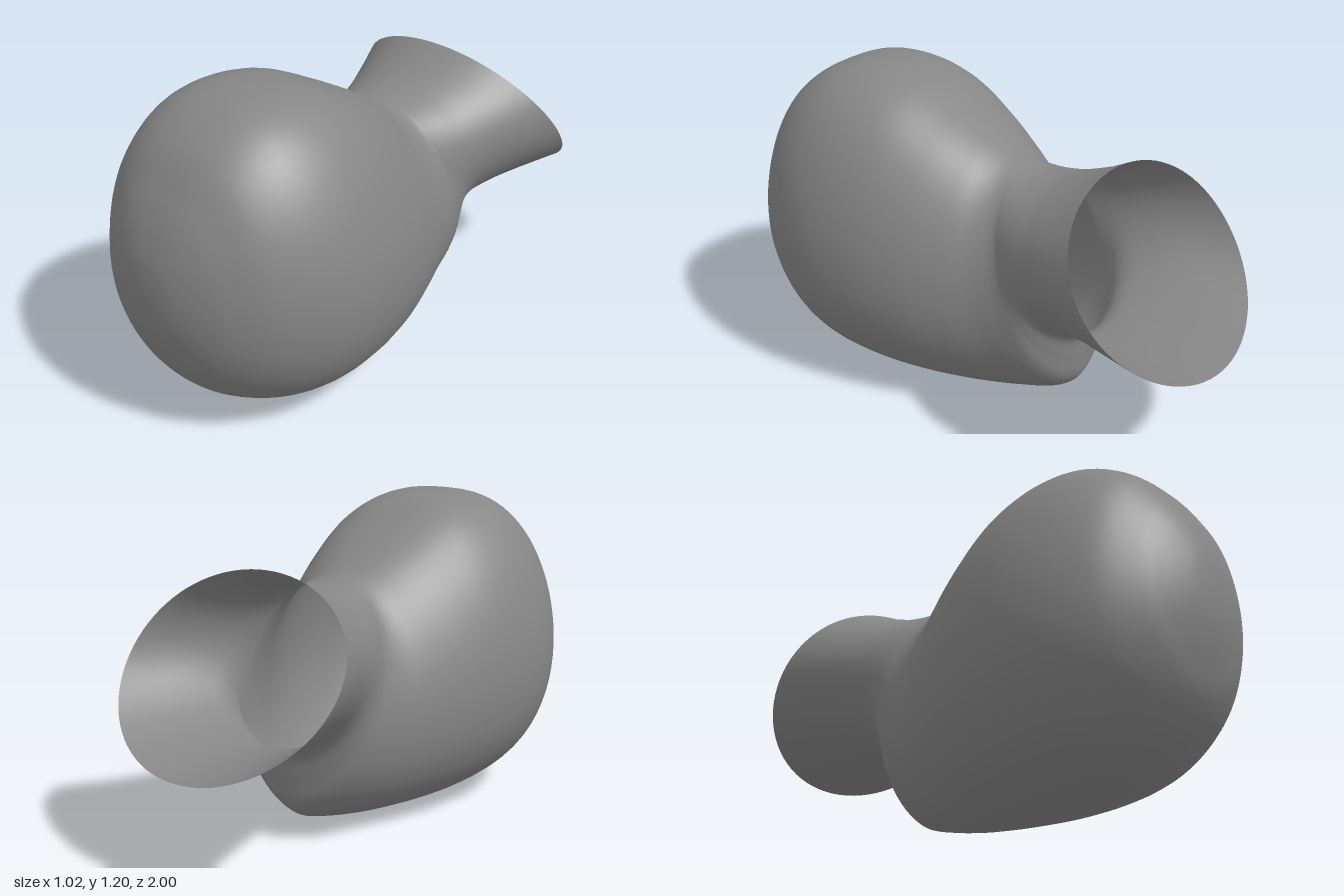
import * as THREE from 'three';
import { mergeVertices } from 'three/addons/utils/BufferGeometryUtils.js';

// Cross-sections from closed front to open rim:
// [top z, top y, bottom z, bottom y, half width, height shift of the widest point]
const SECTIONS = [
  [1, 0.62, 1, 0.62, 0, 0],
  [0.996, 0.69, 0.996, 0.545, 0.062, 0],
  [0.984, 0.762, 0.984, 0.465, 0.125, 0],
  [0.95, 0.862, 0.95, 0.358, 0.215, -0.01],
  [0.9, 0.957, 0.9, 0.25, 0.3, -0.02],
  [0.8, 1.092, 0.8, 0.138, 0.403, -0.03],
  [0.65, 1.181, 0.65, 0.052, 0.48, -0.045],
  [0.48, 1.2, 0.48, 0.013, 0.512, -0.055],
  [0.3, 1.167, 0.28, 0, 0.495, -0.055],
  [0.13, 1.083, 0.08, 0.006, 0.447, -0.05],
  [0, 1.01, -0.1, 0.022, 0.385, -0.04],
  [-0.06, 0.975, -0.25, 0.052, 0.34, -0.03],
  [-0.1, 0.955, -0.36, 0.09, 0.318, -0.02],
  [-0.135, 0.943, -0.418, 0.15, 0.309, -0.01],
  [-0.165, 0.935, -0.435, 0.245, 0.309, 0],
  [-0.2, 0.93, -0.448, 0.335, 0.314, 0],
  [-0.24, 0.93, -0.5, 0.388, 0.326, 0],
  [-0.3, 0.938, -0.6, 0.407, 0.35, 0],
  [-0.36, 0.955, -0.72, 0.411, 0.38, 0],
  [-0.44, 0.985, -0.86, 0.408, 0.42, 0],
  [-0.52, 1.025, -1, 0.4, 0.46, 0],
];
const ROWS = 140;
const SIDES = 80;
const { lerp, smoothstep } = THREE.MathUtils;

const curveOf = (pick) =>
  new THREE.CatmullRomCurve3(SECTIONS.map((s) => new THREE.Vector3(...pick(s))), false, 'catmullrom', 0.5);

// Loft rounded loops between the top and bottom profile curves
function loftGeometry() {
  const top = curveOf((s) => [0, s[1], s[0]]);
  const bottom = curveOf((s) => [0, s[3], s[2]]);
  const side = curveOf((s) => [s[4], s[5], 0]);
  const positions = [];
  const index = [];
  const p = new THREE.Vector3();

  for (let i = 0; i <= ROWS; i++) {
    const t = i / ROWS;
    const a = top.getPoint(t);
    const b = bottom.getPoint(t);
    const { x: width, y: shift } = side.getPoint(t);
    // Full shoulders on the body, a keel under the heel, a bowed rim
    const upper = lerp(0.76, 1, smoothstep(t, 0.4, 0.65));
    const lower = 1 + 0.25 * smoothstep(t, 0.38, 0.6) * (1 - smoothstep(t, 0.65, 0.85));
    const bow = 0.03 * smoothstep(t, 0.75, 1);
    for (let j = 0; j < SIDES; j++) {
      const angle = (j / SIDES) * Math.PI * 2;
      const s = Math.sin(angle);
      const rise = 0.5 + 0.5 * Math.cos(angle);
      p.lerpVectors(b, a, rise + shift * s * s);
      p.x = width * Math.sign(s) * Math.pow(Math.abs(s), lerp(lower, upper, rise));
      positions.push(p.x, p.y, p.z + bow * s * s);
      if (i === ROWS) continue;
      const k = (j + 1) % SIDES;
      const r0 = i * SIDES;
      const r1 = r0 + SIDES;
      if (i > 0) index.push(r0 + j, r0 + k, r1 + j);
      index.push(r0 + k, r1 + k, r1 + j);
    }
  }
  let geometry = new THREE.BufferGeometry();
  geometry.setAttribute('position', new THREE.Float32BufferAttribute(positions, 3));
  geometry.setIndex(index);
  geometry = mergeVertices(geometry, 1e-5);
  geometry.computeVertexNormals();
  return geometry;
}

export function createModel() {
  const group = new THREE.Group();
  group.name = 'flaredVessel';
  // Thin open shell: bulbous body, waisted neck and flared mouth
  const material = new THREE.MeshStandardMaterial({ color: 0x868686, side: THREE.DoubleSide });
  const shell = new THREE.Mesh(loftGeometry(), material);
  shell.name = 'vesselShell';
  group.add(shell);
  return group;
}
